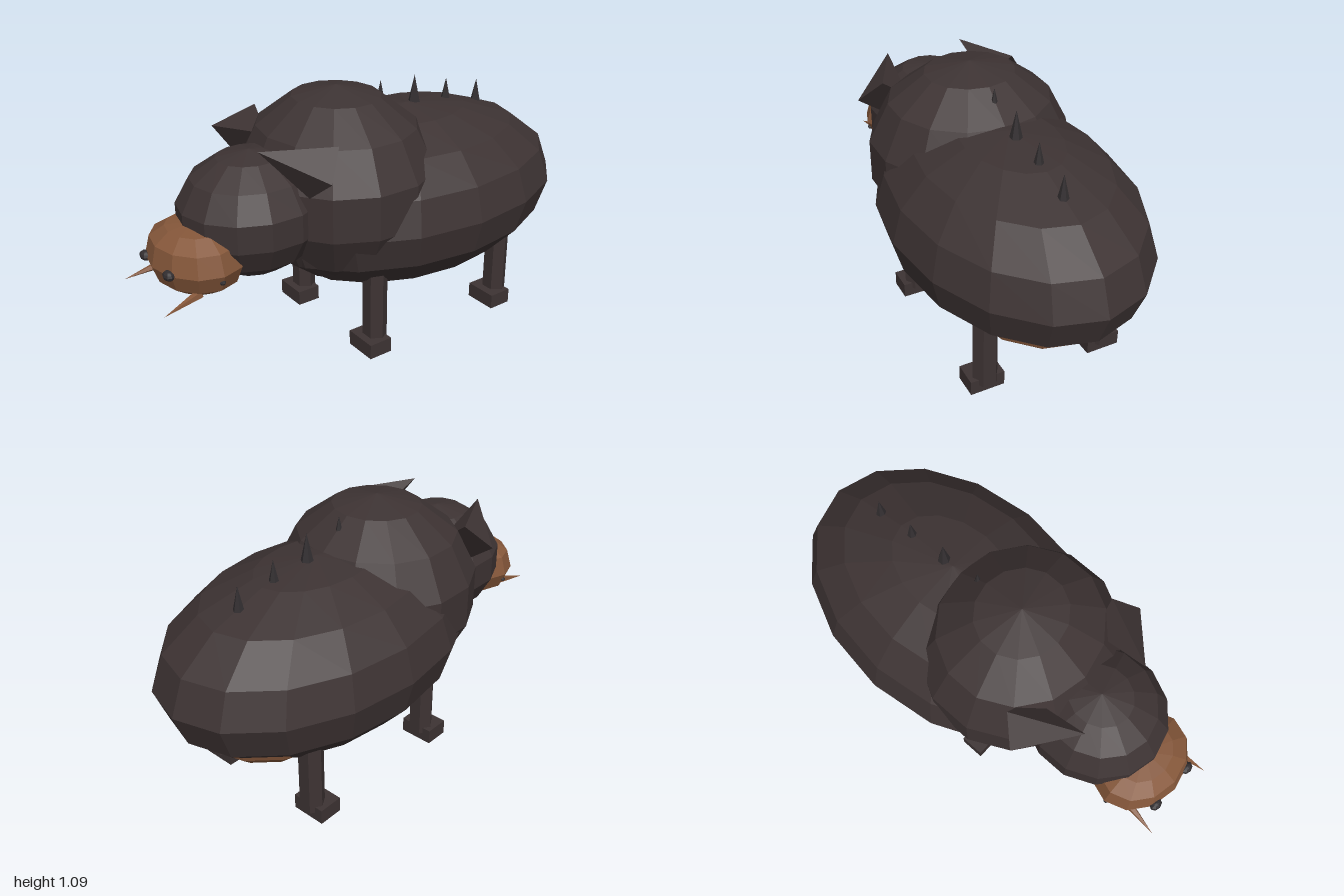
import * as THREE from 'three';
import { ConvexGeometry } from 'three/addons/geometries/ConvexGeometry.js';

function makeMaterial(name, color) {
  const m = new THREE.MeshStandardMaterial({ color, flatShading: true });
  m.name = name;
  return m;
}

export function createModel() {
  const model = new THREE.Group();
  const hide = makeMaterial('dark hide', 0x3d3333);
  const brown = makeMaterial('brown skin', 0x85573a);
  const dark = makeMaterial('charcoal', 0x322e30);

  function add(name, geometry, material, x = 0, y = 0, z = 0) {
    const mesh = new THREE.Mesh(geometry, material);
    mesh.name = name;
    mesh.position.set(x, y, z);
    model.add(mesh);
    return mesh;
  }

  // Faceted ellipsoid with a ring vertex facing the front
  function ellipsoid(rx, ry, rz, around, rows) {
    return new THREE.SphereGeometry(1, around, rows).rotateY(Math.PI / 2).scale(rx, ry, rz);
  }

  // Cone running from a base centre to a tip
  function spike(name, base, tip, radius, sides, material) {
    const a = new THREE.Vector3(...base);
    const dir = new THREE.Vector3(...tip).sub(a);
    const length = dir.length();
    const geometry = new THREE.ConeGeometry(radius, length, sides).translate(0, length / 2, 0);
    const mesh = add(name, geometry, material, ...base);
    mesh.quaternion.setFromUnitVectors(new THREE.Vector3(0, 1, 0), dir.normalize());
  }

  // Torso, shoulder hump, head and rear underside
  add('body', ellipsoid(0.505, 0.375, 0.75, 16, 8), hide, 0, 0.565, -0.25);
  add('shoulders', ellipsoid(0.44, 0.41, 0.415, 14, 7), hide, 0, 0.675, 0.11);
  add('head', ellipsoid(0.284, 0.255, 0.305, 14, 7), hide, 0, 0.65, 0.52);
  add('belly', ellipsoid(0.33, 0.203, 0.33, 12, 8), brown, 0, 0.42, -0.55);

  // Muzzle: ellipsoid with a fuller upper half
  const muzzle = new THREE.SphereGeometry(1, 12, 6);
  const p = muzzle.attributes.position;
  for (let i = 0; i < p.count; i++) {
    const y = p.getY(i);
    const r = Math.hypot(p.getX(i), p.getZ(i));
    if (y < 0.01 || r < 0.01) continue;
    const k = Math.pow(r, 0.78) / r;
    p.setXYZ(i, p.getX(i) * k, Math.pow(y, 0.78), p.getZ(i) * k);
  }
  muzzle.scale(0.228, 0.14, 0.183);
  add('muzzle', muzzle, brown, 0, 0.53, 0.772);

  // Spines along the back
  const spines = [[-0.115, 1.06], [-0.297, 1.05], [-0.475, 1.005], [-0.655, 0.967]];
  for (const [z, top] of spines) {
    spike('backSpine', [0, top - 0.125, z], [0, top, z], 0.028, 6, dark);
  }

  for (const s of [1, -1]) {
    // Ear: four-sided pyramid pointing forward and inward
    const ear = [
      [0.175, 0.96, 0.58], [0.305, 0.96, 0.31], [0.388, 0.857, 0.4],
      [0.267, 0.765, 0.42], [0.184, 0.868, 0.33],
    ].map(([x, y, z]) => new THREE.Vector3(s * x, y, z));
    add('ear', new ConvexGeometry(ear), hide);

    // Nostril, cheek spot and tusk
    add('nostril', ellipsoid(0.03, 0.02, 0.022, 8, 6), dark, s * 0.1, 0.533, 0.935);
    add('cheekSpot', ellipsoid(0.012, 0.01, 0.012, 6, 4), dark, s * 0.215, 0.502, 0.775);
    spike('tusk', [s * 0.152, 0.45, 0.84], [s * 0.175, 0.415, 1.0], 0.02, 5, brown);

    // Legs with block feet
    for (const [legZ, footZ] of [[0.112, 0.135], [-0.576, -0.548]]) {
      const leg = new THREE.CylinderGeometry(0.055, 0.055, 0.325, 6).rotateY(Math.PI / 2);
      leg.scale(1, 1, 0.9);
      add('leg', leg, hide, s * 0.27, 0.2, legZ);
      add('foot', new THREE.BoxGeometry(0.148, 0.065, 0.106), hide, s * 0.27, 0.0325, footZ);
    }
  }
  return model;
}
